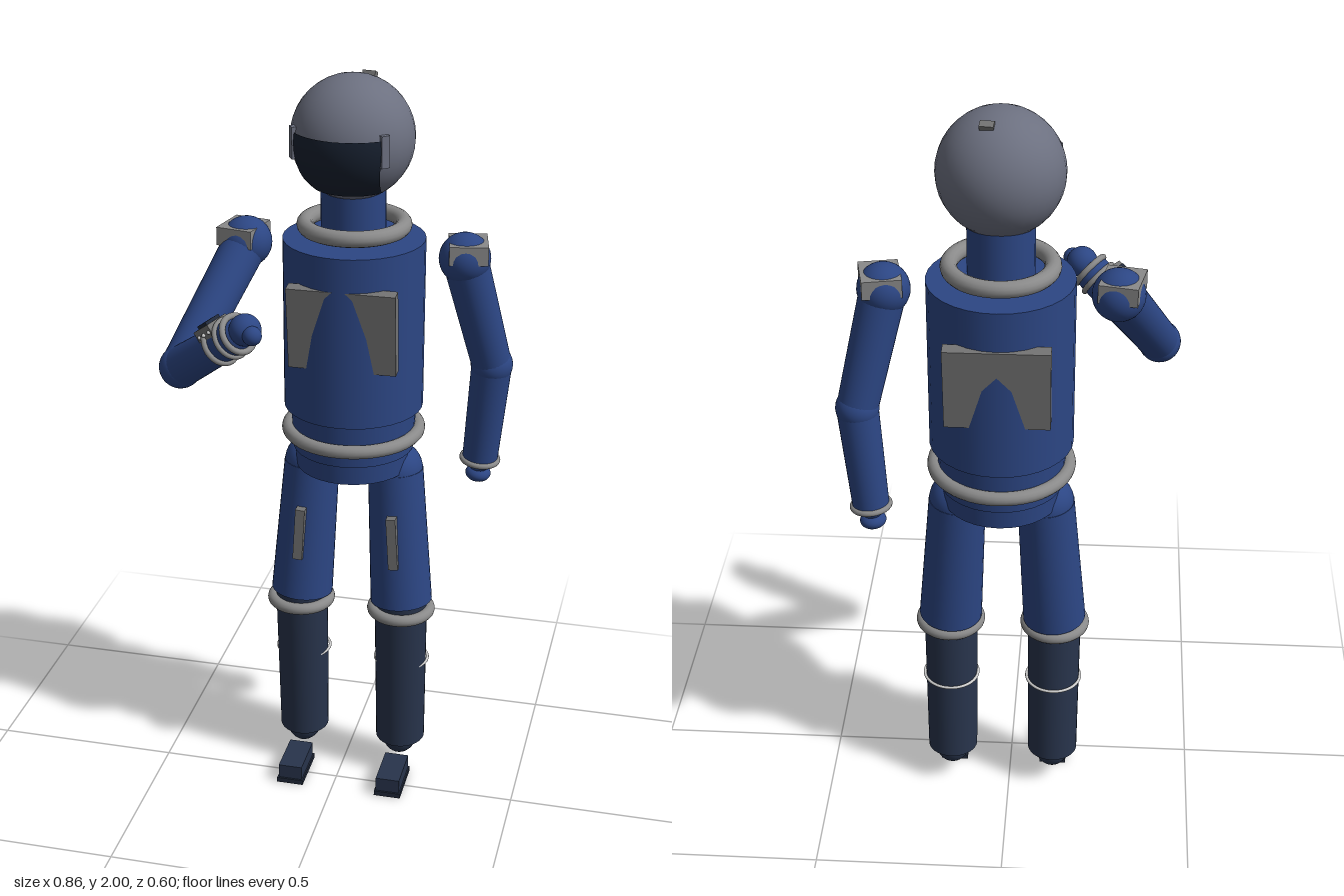
import * as THREE from 'three';

const mat = (color) => new THREE.MeshStandardMaterial({ color });
const V = (x, y, z) => new THREE.Vector3(x, y, z);

export function createModel() {
  const model = new THREE.Group();
  const blue = mat(0x2c4684), navy = mat(0x28344c), shell = mat(0x6c7080);
  const grey = mat(0x8a8a8a), plateGrey = mat(0x747474), dark = mat(0x20293a), white = mat(0xdddddd);
  const visorMat = mat(0x17202f);
  visorMat.side = THREE.DoubleSide;
  const CX = 0.02, CZ = -0.113;

  const add = (name, geo, material, pos, parent = model) => {
    const m = new THREE.Mesh(geo, material);
    m.name = name;
    m.position.copy(pos);
    parent.add(m);
    return m;
  };
  const ball = (name, r, material, pos, parent) =>
    add(name, new THREE.SphereGeometry(r, 32, 20), material, pos, parent);
  const box = (name, w, h, d, material, pos, parent) =>
    add(name, new THREE.BoxGeometry(w, h, d), material, pos, parent);
  // tapered cylinder from a to b
  const limb = (name, a, b, ra, rb, material, parent) => {
    const m = add(name, new THREE.CylinderGeometry(rb, ra, a.distanceTo(b), 32), material,
      a.clone().lerp(b, 0.5), parent);
    m.quaternion.setFromUnitVectors(V(0, 1, 0), b.clone().sub(a).normalize());
    return m;
  };
  // torus around an axis
  const ring = (name, pos, axis, r, tube, material, parent) => {
    const m = add(name, new THREE.TorusGeometry(r, tube, 14, 48), material, pos, parent);
    m.quaternion.setFromUnitVectors(V(0, 0, 1), axis.clone().normalize());
    return m;
  };
  const up = V(0, 1, 0);

  // torso, waist and hips
  limb('torso', V(CX, 1.12, CZ), V(CX, 1.576, CZ), 0.183, 0.183, blue);
  limb('waist', V(CX, 1.0, CZ), V(CX, 1.13, CZ), 0.16, 0.166, blue);
  limb('hips', V(CX, 0.947, CZ), V(CX, 1.05, CZ), 0.152, 0.158, blue);
  ring('belt', V(CX, 1.05, CZ), up, 0.172, 0.018, grey);
  ring('collar', V(CX, 1.61, CZ), up, 0.126, 0.021, grey);
  limb('neck', V(CX, 1.57, -0.105), V(CX, 1.74, -0.1), 0.083, 0.083, blue);

  // plates the torso bulges through
  box('chestPlate', 0.28, 0.22, 0.035, plateGrey, V(CX + 0.005, 1.38, 0.04)).rotation.x = 0.1;
  box('backPlate', 0.26, 0.22, 0.035, plateGrey, V(CX, 1.365, -0.275)).rotation.x = -0.09;

  // head, turned slightly to its right
  const head = new THREE.Group();
  head.name = 'head';
  head.position.set(0.021, 1.843, -0.087);
  head.rotation.y = -0.13;
  model.add(head);
  ball('helmet', 0.156, shell, V(0, 0, 0), head);
  const visor = new THREE.PlaneGeometry(2, 1, 24, 16), p = visor.attributes.position;
  for (let i = 0; i < p.count; i++) {
    const t = 0.5 - p.getY(i);
    const x = p.getX(i) * (0.115 - 0.022 * t * t), y = 0.027 - 0.15 * t;
    p.setXYZ(i, x, y, Math.sqrt(Math.max(0, 0.159 ** 2 - x * x - y * y)));
  }
  visor.computeVertexNormals();
  add('visor', visor, visorMat, V(0, 0, 0), head);
  for (const s of [-1, 1]) {
    const hinge = box('visorHinge', 0.022, 0.08, 0.015, shell, V(s * 0.118, 0, 0.1), head);
    hinge.rotation.y = s * 0.87;
  }
  box('helmetLamp', 0.034, 0.02, 0.02, plateGrey, V(0.018, 0.138, -0.07), head).rotation.x = -0.4;

  // legs
  for (const s of [-1, 1]) {
    const leg = new THREE.Group();
    leg.name = s > 0 ? 'leftLeg' : 'rightLeg';
    model.add(leg);
    const at = (dx, y, z) => V(CX + s * dx, y, z);
    const hip = at(0.115, 0.935, -0.117), knee = at(0.14, 0.55, -0.097), ankle = at(0.14, 0.1, -0.113);
    ball('hipJoint', 0.073, blue, hip, leg);
    limb('thigh', knee, hip, 0.084, 0.074, blue, leg);
    const strip = box('thighPocket', 0.026, 0.15, 0.03, plateGrey, at(0.128, 0.755, -0.027), leg);
    strip.rotation.z = s * 0.06;
    ring('kneeRing', at(0.141, 0.525, -0.09), up, 0.077, 0.016, grey, leg);
    limb('shin', ankle, at(0.14, 0.56, -0.092), 0.068, 0.072, navy, leg);
    ring('shinBand', at(0.14, 0.355, -0.113), up, 0.073, 0.004, white, leg);
    ball('ankle', 0.062, navy, at(0.14, 0.107, -0.113), leg).scale.x = 0.82;
    box('boot', 0.066, 0.042, 0.13, navy, at(0.14, 0.033, -0.005), leg);
    box('sole', 0.074, 0.014, 0.14, dark, at(0.14, 0.007, -0.005), leg);
  }

  // arms: the left hangs, the right is bent across the front
  const arm = (name, s, shoulder, elbow, wrist) => {
    const g = new THREE.Group();
    g.name = name;
    model.add(g);
    const dir = wrist.clone().sub(elbow).normalize();
    const along = (d) => wrist.clone().addScaledVector(dir, d);
    ball('shoulder', 0.066, blue, shoulder, g);
    const pad = box('shoulderPad', 0.098, 0.048, 0.112, grey,
      shoulder.clone().add(V(s * 0.008, 0.023, 0)), g);
    pad.rotation.y = s * 0.2;
    limb('upperArm', shoulder, elbow, 0.058, 0.052, blue, g);
    ball('elbow', 0.055, blue, elbow, g);
    limb('forearm', elbow, wrist, 0.053, 0.047, blue, g);
    ring('wristRing', wrist, dir, 0.047, 0.008, grey, g);
    limb('cuff', wrist, along(0.03), 0.04, 0.022, blue, g);
    const hand = ball('hand', 0.034, blue, along(0.045), g);
    hand.scale.y = 0.65;
    hand.quaternion.setFromUnitVectors(up, dir);
    return { g, dir, along };
  };
  arm('leftArm', 1, V(0.305, 1.54, -0.115), V(0.375, 1.235, -0.172), V(0.35, 0.955, -0.188));
  const bent = arm('rightArm', -1, V(-0.265, 1.54, -0.115), V(-0.375, 1.278, 0.13), V(-0.19, 1.425, 0.235));
  ball('fist', 0.04, blue, bent.along(0.03), bent.g);
  ball('thumb', 0.024, blue, V(-0.143, 1.44, 0.277), bent.g);

  // wrist control unit on the bent arm
  ring('unitRing', bent.along(-0.075), bent.dir, 0.05, 0.008, grey, bent.g);
  ring('unitRing', bent.along(-0.03), bent.dir, 0.049, 0.007, grey, bent.g);
  const unit = new THREE.Group();
  unit.name = 'controlUnit';
  unit.position.copy(bent.along(-0.065));
  unit.quaternion.setFromUnitVectors(V(1, 0, 0), bent.dir);
  bent.g.add(unit);
  box('unitBody', 0.06, 0.04, 0.07, plateGrey, V(0, 0.038, 0.005), unit);
  box('unitPanel', 0.035, 0.012, 0.05, dark, V(0, 0.06, 0.005), unit);
  for (const [x, z] of [[-0.02, 0.04], [0, 0.042], [0.02, 0.04]])
    ball('button', 0.005, white, V(x, 0.04, z), unit);

  return model;
}
